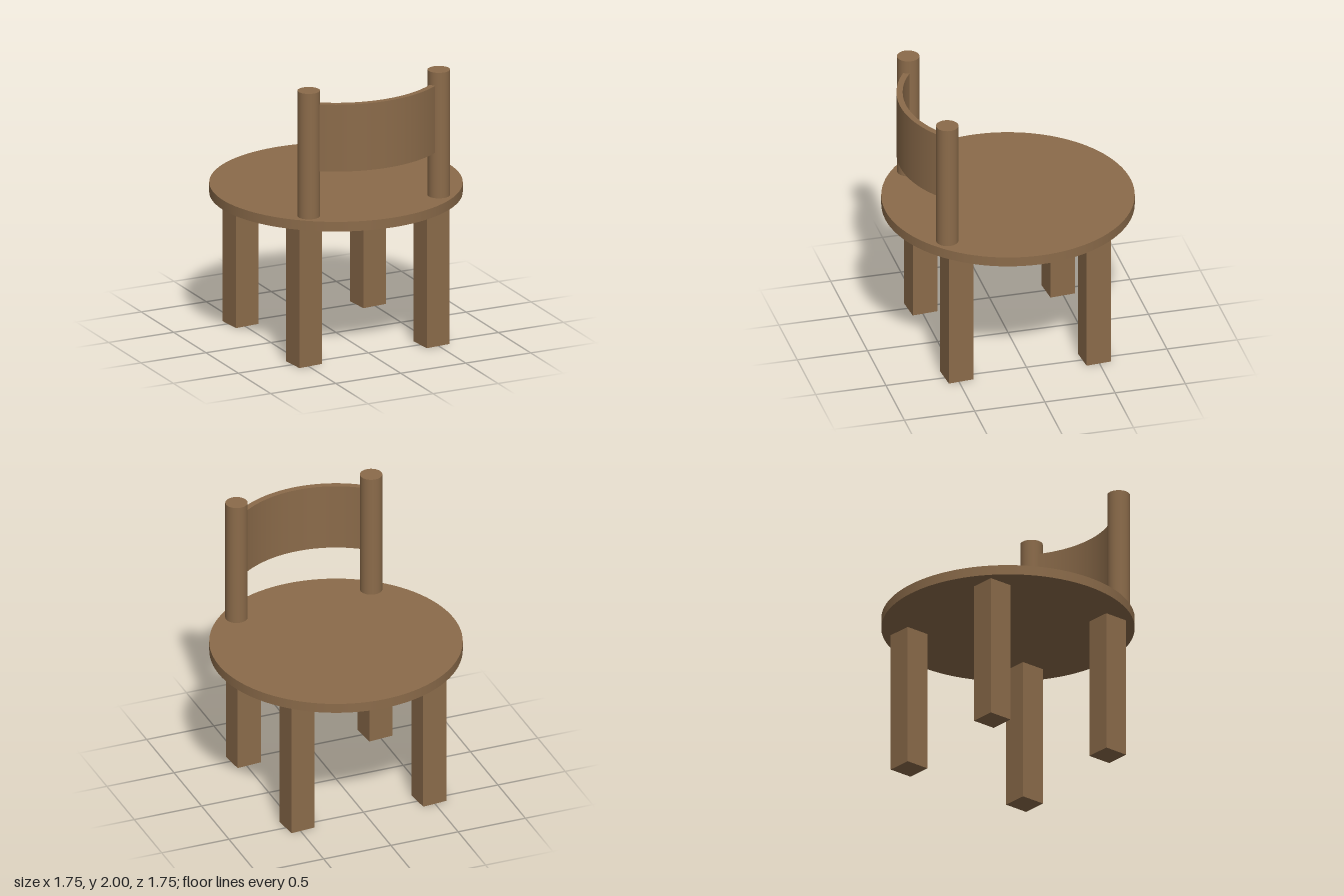
import * as THREE from 'three';

export function createModel() {
  const model = new THREE.Group();
  const wood = new THREE.MeshStandardMaterial({ color: 0x8b6b4a });
  wood.name = 'brown wood';

  const add = (name, geometry, x, y, z) => {
    const mesh = new THREE.Mesh(geometry, wood);
    mesh.name = name;
    mesh.position.set(x, y, z);
    model.add(mesh);
    return mesh;
  };

  // round seat
  add('seat', new THREE.CylinderGeometry(0.873, 0.873, 0.07, 96), 0, 1.055, 0);

  // four square legs, each turned slightly
  const legGeometry = new THREE.BoxGeometry(0.18, 1.02, 0.18);
  for (const [side, x] of [['left', 0.488], ['right', -0.492]]) {
    for (const [end, z] of [['Front', 0.492], ['Back', -0.488]]) {
      add(`${side}${end}Leg`, legGeometry, x, 0.51, z).rotation.y = THREE.MathUtils.degToRad(4.8);
    }
  }

  // round posts carrying the backrest
  const postGeometry = new THREE.CylinderGeometry(0.0775, 0.0775, 0.91, 48);
  add('leftPost', postGeometry, 0.509, 1.545, 0.566);
  add('rightPost', postGeometry, -0.498, 1.545, 0.58);

  // curved backrest panel, concentric with the seat and ending inside the posts
  const start = THREE.MathUtils.degToRad(48);
  const end = THREE.MathUtils.degToRad(130.7);
  const arc = new THREE.Shape();
  arc.absarc(0, 0, 0.768, start, end, false);
  arc.absarc(0, 0, 0.725, end, start, true);
  const panel = new THREE.ExtrudeGeometry(arc, { depth: 0.485, bevelEnabled: false, curveSegments: 48 });
  panel.rotateX(Math.PI / 2);
  add('backrestPanel', panel, 0, 1.905, 0);

  return model;
}
